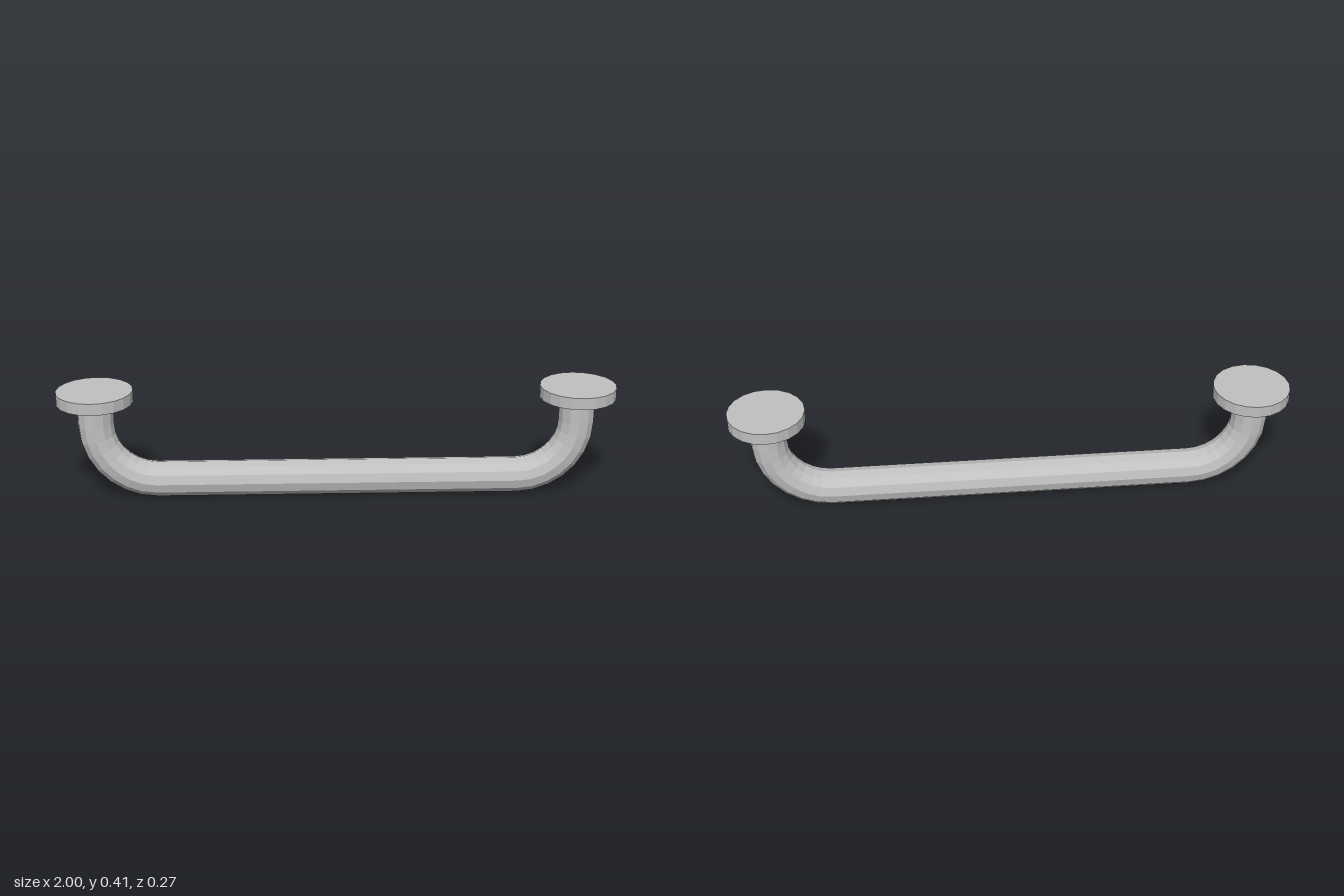
import * as THREE from 'three';

const TUBE = 0.065;    // tube radius
const BEND = 0.213;    // centreline radius of the bends
const LEG_X = 0.863;   // centre of each upright
const FLANGE_Y = 0.364;
const TOP_Y = 0.407;

export function createModel() {
  const model = new THREE.Group();
  model.name = 'grabRail';
  const metal = new THREE.MeshStandardMaterial({ color: 0xc0c0c0, flatShading: true });
  metal.name = 'brushedMetal';

  const add = (name, geometry, x, y) => {
    const mesh = new THREE.Mesh(geometry, metal);
    mesh.name = name;
    mesh.position.set(x, y, 0);
    model.add(mesh);
    return mesh;
  };

  const bendX = LEG_X - BEND;
  const bendY = TUBE + BEND;

  // Horizontal grip
  const grip = new THREE.CylinderGeometry(TUBE, TUBE, bendX * 2, 12, 1, true);
  add('grip', grip.rotateZ(Math.PI / 2), 0, TUBE);

  // Bend, upright and mounting flange at each end
  for (const [side, s] of [['left', 1], ['right', -1]]) {
    const bend = new THREE.TorusGeometry(BEND, TUBE, 12, 7, Math.PI / 2);
    bend.rotateZ(s > 0 ? -Math.PI / 2 : Math.PI);
    add(side + 'Bend', bend, s * bendX, bendY);

    const legHeight = FLANGE_Y - bendY;
    add(side + 'Upright', new THREE.CylinderGeometry(TUBE, TUBE, legHeight, 12, 1, true),
      s * LEG_X, bendY + legHeight / 2);

    add(side + 'Flange', new THREE.CylinderGeometry(0.137, 0.137, TOP_Y - FLANGE_Y, 20),
      s * LEG_X, (TOP_Y + FLANGE_Y) / 2);
  }
  return model;
}
